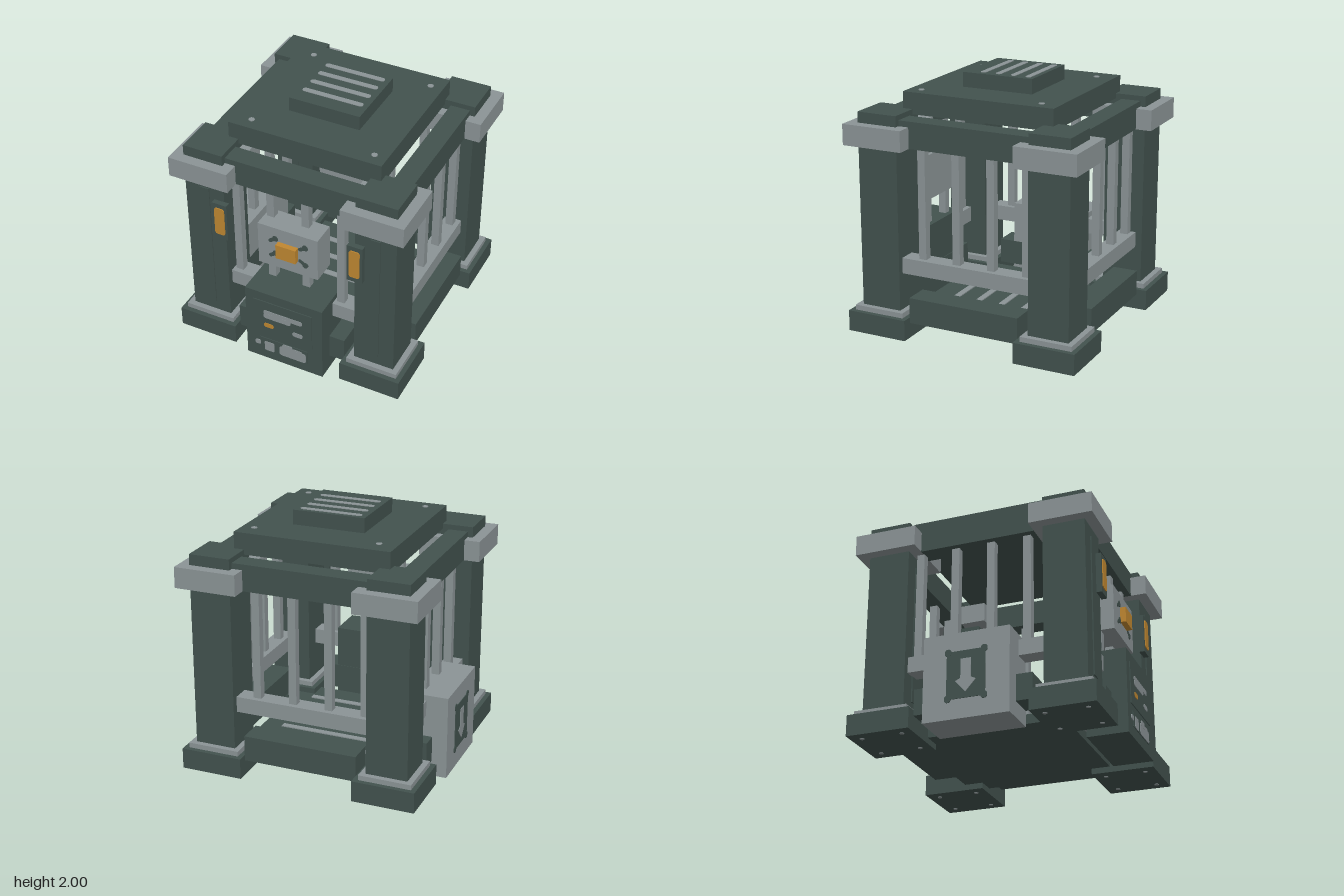
import * as THREE from 'three';

const CX = 0.0225, CZ = -0.0275; // centre of the frame

export function createModel() {
  const dark = new THREE.MeshStandardMaterial({ color: 0x42524e });
  dark.name = 'dark green iron';
  const gray = new THREE.MeshStandardMaterial({ color: 0x8b9496 });
  gray.name = 'gray steel';
  const amber = new THREE.MeshStandardMaterial({ color: 0xbf8731 });
  amber.name = 'amber';

  const model = new THREE.Group();
  model.name = 'cage';

  // box given by its limits
  function box(name, mat, x0, x1, y0, y1, z0, z1, parent = model) {
    const m = new THREE.Mesh(new THREE.BoxGeometry(x1 - x0, y1 - y0, z1 - z0), mat);
    m.position.set((x0 + x1) / 2, (y0 + y1) / 2, (z0 + z1) / 2);
    m.name = name;
    parent.add(m);
    return m;
  }
  // square block centred on x, z
  const block = (name, mat, x, z, h, y0, y1, parent) =>
    box(name, mat, x - h, x + h, y0, y1, z - h, z + h, parent);

  // thin rounded plate facing +z
  function plate(name, mat, w, h, r, x, y, z, parent = model, t = 0.008) {
    const s = new THREE.Shape(), a = w / 2, b = h / 2;
    s.moveTo(-a + r, -b);
    s.lineTo(a - r, -b); s.absarc(a - r, -b + r, r, -Math.PI / 2, 0);
    s.lineTo(a, b - r); s.absarc(a - r, b - r, r, 0, Math.PI / 2);
    s.lineTo(-a + r, b); s.absarc(-a + r, b - r, r, Math.PI / 2, Math.PI);
    s.lineTo(-a, -b + r); s.absarc(-a + r, -b + r, r, Math.PI, Math.PI * 1.5);
    const m = new THREE.Mesh(
      new THREE.ExtrudeGeometry(s, { depth: t, bevelEnabled: false, curveSegments: 5 }), mat);
    m.position.set(x, y, z);
    m.name = name;
    parent.add(m);
    return m;
  }
  function bolt(x, y, z, r, parent = model) {
    const m = new THREE.Mesh(new THREE.CylinderGeometry(r, r, 0.008, 10), gray);
    m.position.set(x, y, z);
    m.name = 'bolt';
    parent.add(m);
  }

  // corner posts with foot, collar, capital and top block
  for (const sx of [-1, 1]) for (const sz of [-1, 1]) {
    const post = new THREE.Group();
    post.name = 'cornerPost';
    post.position.set(CX + sx * 0.708, 0, CZ + sz * 0.71);
    model.add(post);
    block('foot', dark, 0, 0, 0.249, 0.004, 0.17, post);
    block('collar', gray, 0, 0, 0.21, 0.17, 0.21, post);
    block('column', dark, 0, 0, 0.165, 0.21, 1.5, post);
    block('capital', gray, 0, 0, 0.249, 1.5, 1.665, post);
    block('topBlock', dark, 0, 0, 0.165, 1.665, 1.75, post);
    box('columnStrip', dark, -0.04, 0.04, 0.295, 1.415, 0.165, 0.174, post);
    for (const bx of [-0.16, 0.16]) for (const bz of [-0.16, 0.16]) bolt(bx, 0.004, bz, 0.018, post);
  }

  // beams, rails and bars on the four sides
  const barsX = [-0.47, -0.18, 0.112, 0.407], barsZ = [0.36, 0.07, -0.22, -0.512];
  for (const s of [-1, 1]) {
    const sorted = (a, b) => (s > 0 ? [a, b] : [-b, -a]);
    const [u0, u1] = sorted(0.672, 0.832), [l0, l1] = sorted(0.672, 0.875);
    const [r0, r1] = sorted(0.682, 0.822);
    box('upperBeam', dark, CX - 0.545, CX + 0.545, 1.5, 1.71, CZ + u0, CZ + u1);
    box('upperBeam', dark, CX + u0, CX + u1, 1.5, 1.71, CZ - 0.545, CZ + 0.545);
    box('lowerBeam', dark, CX - 0.46, CX + 0.46, 0.125, 0.33, CZ + l0, CZ + l1);
    box('lowerBeam', dark, CX + l0, CX + l1, 0.125, 0.33, CZ - 0.46, CZ + 0.46);
    box('rail', gray, CX - 0.545, CX + 0.545, 0.5, 0.625, CZ + r0, CZ + r1);
    box('rail', gray, CX + r0, CX + r1, 0.5, 0.625, CZ - 0.545, CZ + 0.545);
    for (const x of barsX) block('bar', gray, x, CZ + s * 0.752, 0.031, 0.625, 1.5);
    for (const z of barsZ) block('bar', gray, CX + s * 0.752, z, 0.031, 0.625, 1.5);
  }

  // floor and its slats
  block('floor', dark, CX, CZ, 0.61, 0.05, 0.125);
  for (let i = -2; i <= 2; i++)
    box('floorSlat', gray, CX - 0.45, CX + 0.45, 0.125, 0.133, CZ + i * 0.2 - 0.025, CZ + i * 0.2 + 0.025);

  // roof with vent slots and bolts
  block('roof', dark, CX, CZ, 0.625, 1.71, 1.88);
  block('roofVent', dark, CX, CZ, 0.291, 1.88, 1.996);
  for (const z of [-0.26, -0.137, -0.01, 0.117])
    plate('ventSlot', gray, 0.5, 0.046, 0.022, CX, 1.996, z, model, 0.004).rotation.x = -Math.PI / 2;
  for (const x of [-0.46, 0.545]) for (const z of [-0.51, 0.495]) bolt(x, 1.881, z, 0.024);

  // lamps on the front posts
  for (const x of [-0.5425, 0.5825]) {
    box('lampHousing', dark, x - 0.0625, x + 0.0625, 1.005, 1.33, 0.845, 0.89);
    plate('lampLens', amber, 0.085, 0.245, 0.02, x, 1.17, 0.89);
  }

  // hanging sign with lock plate and crossed marks
  box('sign', gray, -0.23, 0.27, 0.88, 1.25, 0.665, 0.865);
  box('signLock', amber, -0.06, 0.107, 1.005, 1.13, 0.865, 0.91);
  for (const sx of [-1, 1]) for (const sy of [-1, 1]) {
    const mark = new THREE.Group();
    mark.name = 'signMark';
    mark.position.set(CX + sx * 0.125, 1.0675 + sy * 0.07, 0.865);
    mark.rotation.z = sx * sy > 0 ? 0.6 : -0.6;
    if (sx < 0) mark.rotation.z = 0.6;
    model.add(mark);
    plate('markBar', dark, 0.085, 0.03, 0.014, 0, 0, 0, mark, 0.004);
    plate('markEnd', dark, 0.042, 0.05, 0.02, 0.025, 0, 0, mark, 0.005);
  }

  // front control box
  box('controlBox', dark, -0.305, 0.355, 0, 0.67, 0.65, 0.97);
  box('controlPanel', dark, -0.23, 0.27, 0.255, 0.59, 0.97, 0.977);
  plate('readout', gray, 0.335, 0.042, 0.018, CX, 0.486, 0.977, model, 0.004);
  plate('readoutLower', gray, 0.235, 0.045, 0.018, -0.027, 0.452, 0.977, model, 0.0045);
  plate('amberButton', amber, 0.085, 0.04, 0.019, -0.102, 0.357, 0.977, model, 0.004);
  plate('grayButton', gray, 0.088, 0.04, 0.019, 0.147, 0.357, 0.977, model, 0.004);
  box('lowerPanel', dark, -0.185, 0.23, 0.085, 0.21, 0.97, 0.975);
  plate('lowerMark', gray, 0.085, 0.09, 0.01, -0.103, 0.133, 0.975, model, 0.004);
  plate('lowerMark', gray, 0.23, 0.09, 0.02, 0.1, 0.133, 0.975, model, 0.004);
  plate('lowerMark', gray, 0.09, 0.05, 0.02, 0.055, 0.184, 0.975, model, 0.0045);
  plate('lowerMark', gray, 0.09, 0.04, 0.015, 0.14, 0.172, 0.975, model, 0.0035);
  plate('lowerMark', gray, 0.05, 0.04, 0.015, -0.205, 0.148, 0.97);

  // gray side box with a dark panel and a downward arrow
  box('sideBox', gray, -0.973, -0.65, 0, 0.67, -0.363, 0.307);
  const side = new THREE.Group();
  side.name = 'sidePanel';
  side.position.set(-0.973, 0.337, CZ);
  side.rotation.y = -Math.PI / 2;
  model.add(side);
  plate('panel', dark, 0.3, 0.37, 0.01, 0, 0, 0, side, 0.005);
  for (const x of [-0.14, 0.14]) for (const y of [-0.18, 0.18])
    plate('panelCorner', dark, 0.05, 0.055, 0.022, x, y, 0, side, 0.006);
  const arrow = new THREE.Shape([[-0.04, 0.12], [0.04, 0.12], [0.04, -0.03], [0.08, -0.05],
    [0, -0.14], [-0.08, -0.05], [-0.04, -0.03]].map(p => new THREE.Vector2(...p)));
  const arrowMesh = new THREE.Mesh(
    new THREE.ExtrudeGeometry(arrow, { depth: 0.004, bevelEnabled: false }), gray);
  arrowMesh.position.z = 0.005;
  arrowMesh.name = 'panelArrow';
  side.add(arrowMesh);

  return model;
}
